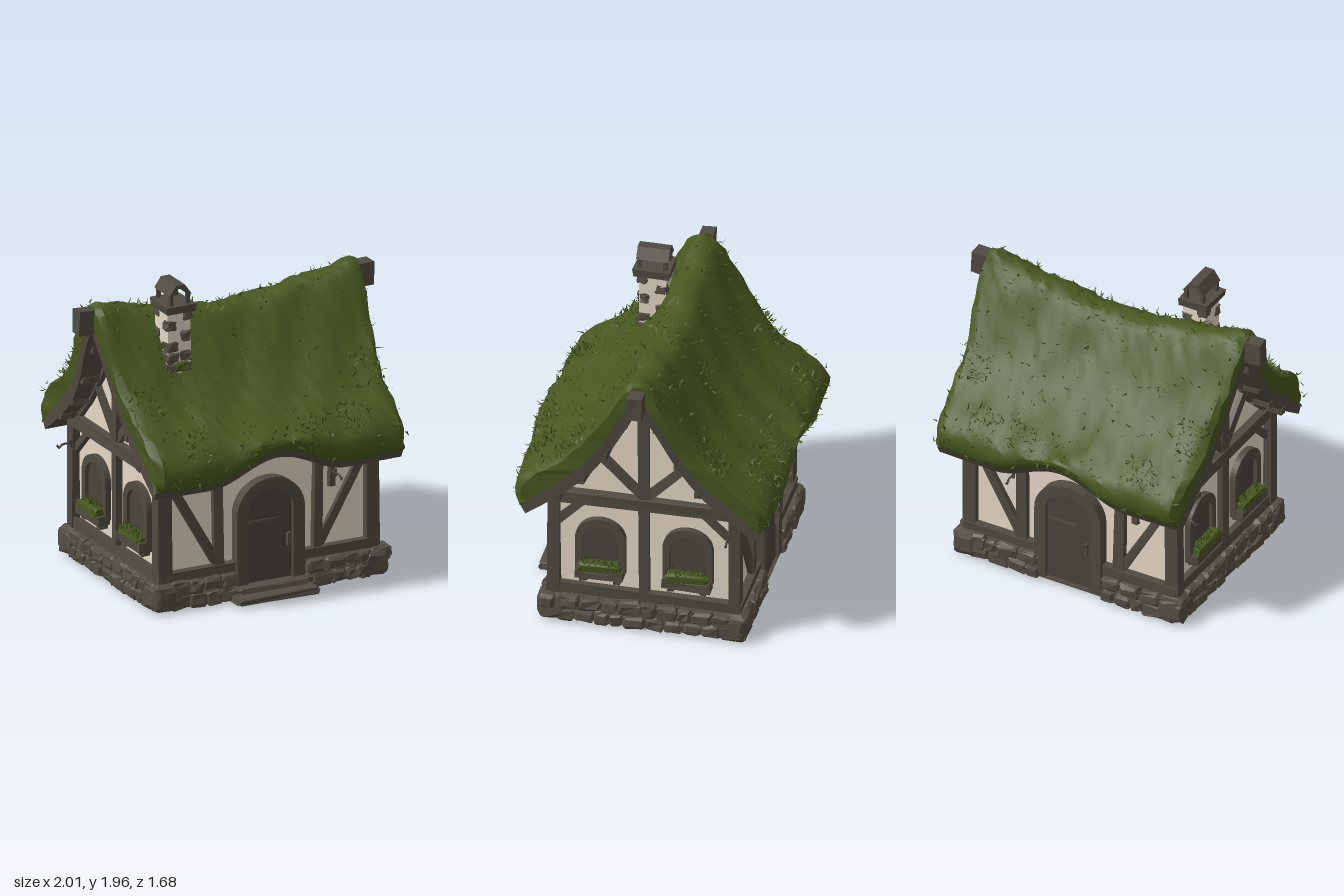
import * as THREE from 'three';
import { mergeGeometries, toCreasedNormals } from 'three/addons/utils/BufferGeometryUtils.js';
import { RoundedBoxGeometry } from 'three/addons/geometries/RoundedBoxGeometry.js';

const mat = (name, color, extra = {}) => Object.assign(new THREE.MeshStandardMaterial({ color, ...extra }), { name });
const M = {
  wood: mat('dark timber', 0x504b41),
  door: mat('door planks', 0x4a453c),
  stone: mat('stone', 0x544e44),
  plaster: mat('plaster', 0xe6d9c6),
  moss: mat('moss', 0x485720),
  leaf: mat('leaves', 0x43541e, { side: THREE.DoubleSide }),
};
const { smoothstep, clamp } = THREE.MathUtils;
const V3 = (x, y, z) => new THREE.Vector3(x, y, z);
const points2 = pts => pts.map(p => new THREE.Vector2(...p));

let seed = 7;
const rnd = (a = 0, b = 1) => a + (b - a) * ((seed = (seed * 16807) % 2147483647) / 2147483647);
const hash = (x, y, z) => {
  const s = Math.sin(x * 127.1 + y * 311.7 + z * 74.7) * 43758.5453;
  return (s - Math.floor(s)) * 2 - 1;
};
function add(parent, name, geo, material, x = 0, y = 0, z = 0) {
  const m = Object.assign(new THREE.Mesh(geo, material), { name });
  m.position.set(x, y, z);
  parent.add(m);
  return m;
}
function group(parent, name, turn = 0) {
  const g = Object.assign(new THREE.Group(), { name });
  g.rotation.y = turn;
  parent.add(g);
  return g;
}

// Nudge corners so that pieces look hand-hewn
function rough(geo, amt) {
  const g = geo.index ? geo.toNonIndexed() : geo;
  const p = g.attributes.position, s = rnd(0, 50);
  for (let i = 0; i < p.count; i++) {
    const [x, y, z] = [p.getX(i), p.getY(i), p.getZ(i)].map(v => Math.round(v * 1e4) / 1e4);
    p.setXYZ(i, x + amt * hash(x + s, y, z), y + amt * hash(x, y + s, z), z + amt * hash(x, y, z + s));
  }
  g.computeVertexNormals();
  return g;
}
const hewn = (w, h, d, amt = 0.006) => rough(new THREE.BoxGeometry(w, h, d), amt);
const rock = (w, h, d) => toCreasedNormals(rough(new RoundedBoxGeometry(w, h, d, 1, Math.min(w, h, d) * 0.25), 0.008), 0.2);

// Timber between two points of a wall panel
function beam(parent, name, x1, y1, x2, y2, w, d, z = 0.01) {
  const geo = hewn(w, Math.hypot(x2 - x1, y2 - y1), d);
  add(parent, name, geo, M.wood, (x1 + x2) / 2, (y1 + y2) / 2, z).rotation.z = -Math.atan2(x2 - x1, y2 - y1);
}

const extrude = (s, depth) => new THREE.ExtrudeGeometry(s, { depth, bevelEnabled: false, curveSegments: 10 });
function arch(w, h, rise) {
  const p = new THREE.Shape().moveTo(-w / 2, 0).lineTo(w / 2, 0).lineTo(w / 2, h - rise);
  return p.absellipse(0, h - rise, w / 2, rise, 0, Math.PI, false).lineTo(-w / 2, 0);
}
function archFrame(outer, inner, depth) {
  const s = arch(...outer);
  s.holes.push(arch(...inner));
  return extrude(s, depth);
}

// Thin leaf blade, collected for merging
function blade(list, p, dir, len, w) {
  const side = V3(rnd(-1, 1), rnd(-0.3, 0.3), rnd(-1, 1)).normalize().multiplyScalar(w);
  const g = new THREE.BufferGeometry().setFromPoints([p.clone().sub(side), p.clone().add(side), p.clone().addScaledVector(dir, len)]);
  g.computeVertexNormals();
  list.push(g);
}

// Roof cross-sections from ridge to eave: moss top, board top, board underside
const curve = pts => new THREE.SplineCurve(points2(pts));
const TOP = curve([[0, 1.82], [0.07, 1.79], [0.13, 1.71], [0.2, 1.59], [0.3, 1.43], [0.4, 1.3], [0.52, 1.18], [0.66, 1.09], [0.76, 1.01], [0.795, 0.93], [0.78, 0.85], [0.745, 0.81]]);
const MID = curve([[0, 1.74], [0.1, 1.59], [0.22, 1.37], [0.36, 1.165], [0.52, 1.02], [0.75, 0.82]]);
const LOW = curve([[0, 1.63], [0.1, 1.48], [0.23, 1.24], [0.36, 1.06], [0.51, 0.92], [0.72, 0.765]]);
// The ridge sags and the eave lifts over the door
function warp(u, z, y) {
  const half = 0.84 + 0.06 * smoothstep(y, 0.95, 1.75);
  const sag = -0.15 * (1 - Math.abs(u) ** 1.37) * Math.max(0, 1 - Math.abs(z) / 0.5);
  const lift = Math.abs(u) < 0.55 ? 0.14 * Math.cos(u * Math.PI / 1.1) ** 2 : 0;
  return V3(u * half, y + sag + lift * (1 - smoothstep(y, 0.82, 1.12)), z * (1.005 - 0.02 * u * u));
}
function roofLayer(upper, lower, bump) {
  const N = 44, pos = [];
  const [U, L] = [upper, lower].map(c => {
    const h = c.getPoints(22);
    return [...h.slice(1).reverse().map(p => new THREE.Vector2(-p.x, p.y)), ...h];
  });
  const rows = Array.from({ length: N + 1 }, (_, i) => {
    const u = i / N * 2 - 1, end = bump && (i === 0 || i === N);
    const up = U.map((p, j) => {
      const q = end ? p.clone().lerp(L[j], 0.22) : p;
      const b = bump * (0.6 * hash(i, j, 1) + 0.5 * Math.sin(u * 14 + j * 0.6));
      return warp(u, q.x, q.y).add(V3(end ? bump * hash(i, j, 3) : 0, b, b * 0.7 * Math.sign(p.x)));
    });
    return { up, lo: L.map(p => warp(u, p.x, p.y)) };
  });
  const quad = (a, b, c, d) => [a, b, c, a, c, d].forEach(v => pos.push(v.x, v.y, v.z));
  const rings = rows.map(r => [...r.up, ...r.lo.slice().reverse()]);
  for (let i = 0; i < N; i++) rings[i].forEach((a, j, A) => {
    const k = (j + 1) % A.length, B = rings[i + 1];
    quad(a, A[k], B[k], B[j]);
  });
  for (let j = 0; j < U.length - 1; j++) {
    const e = rows[N], s = rows[0];
    quad(e.up[j], e.up[j + 1], e.lo[j + 1], e.lo[j]);
    quad(s.lo[j], s.lo[j + 1], s.up[j + 1], s.up[j]);
  }
  const g = new THREE.BufferGeometry().setAttribute('position', new THREE.Float32BufferAttribute(pos, 3));
  return toCreasedNormals(g, 0.7);
}
function buildRoof(root) {
  const g = group(root, 'roof'), blades = [];
  add(g, 'mossThatch', roofLayer(TOP, MID, 0.012), M.moss);
  add(g, 'roofBoards', roofLayer(MID, LOW, 0), M.wood);
  for (const s of [-1, 1]) {
    add(g, 'ridgeBeamEnd', hewn(0.2, 0.15, 0.09), M.wood, s * 0.9, 1.70, 0).rotation.z = s * 0.05;
    // purlins under the gable overhang, rafter tails under the eaves
    for (const t of [0.2, 0.4, 0.6, 0.8]) for (const f of [-1, 1]) {
      const p = LOW.getPoint(t);
      add(g, 'purlin', hewn(0.15, 0.04, 0.04), M.wood, s * 0.77, p.y - 0.01, f * p.x);
    }
    for (const u of [-0.75, -0.5, -0.25, 0, 0.25, 0.5, 0.75]) {
      const p = warp(u, s * 0.61, 0.845);
      add(g, 'rafterTail', hewn(0.045, 0.035, 0.16), M.wood, p.x, p.y, p.z).rotation.x = s * 0.62;
    }
  }
  // loose leaves and thick tufts
  const sprout = (u, t, f, len) => {
    const p = TOP.getPoint(t), q = TOP.getPoint(Math.min(1, t + 0.01));
    const dir = V3(rnd(-1.3, 1.3), (q.x - p.x) * 50 + rnd(-0.9, 0.9), f * ((p.y - q.y) * 50 + rnd(-0.9, 0.9))).normalize();
    blade(blades, warp(u, f * p.x, p.y), dir, len, 0.008);
  };
  for (const f of [-1, 1]) {
    for (let i = 0; i < 480; i++) sprout(rnd(-1, 1), rnd(0.02, 0.92), f, rnd(0.02, 0.055));
    for (const [u, t] of [[-0.64, 0.67], [0.64, 0.67], [-0.87, 0.48], [0.87, 0.48], [0.3, 0.68]])
      for (let i = 0; i < 90; i++) sprout(clamp(u + rnd(-0.12, 0.12), -1, 1), t + rnd(-0.07, 0.07), f, rnd(0.025, 0.05));
  }
  add(g, 'roofLeaves', mergeGeometries(blades), M.leaf);
}

function buildFoundation(root) {
  const g = group(root, 'foundation');
  add(g, 'foundationCore', new THREE.BoxGeometry(1.5, 0.17, 1.2), M.stone, 0, 0.085, 0);
  // two courses of rubble on each side, leaving room for the doors
  for (let turn = 0; turn < 4; turn++) {
    const [half, off, gap] = turn % 2 ? [0.52, 0.75, 0] : [0.68, 0.6, 0.22];
    const side = group(g, 'rubbleWall', turn * Math.PI / 2);
    for (const y of [0.045, 0.13]) for (let x = -half, w; x < half; x += w * 0.97) {
      w = rnd(0.08, 0.15);
      if (Math.abs(x + w / 2) < gap) continue;
      add(side, 'stone', rock(w, rnd(0.08, 0.095), 0.1), M.stone, x + w / 2, y, off - rnd(0, 0.012)).rotation.z = rnd(-0.1, 0.1);
    }
  }
  for (const x of [-0.71, 0.71]) for (const z of [-0.56, 0.56]) add(g, 'cornerStone', rock(0.18, 0.17, 0.18), M.stone, x, 0.088, z);
  add(g, 'lowerStep', rock(0.54, 0.045, 0.19), M.stone, -0.01, 0.023, 0.665);
  add(g, 'upperStep', rock(0.46, 0.045, 0.1), M.stone, 0, 0.06, 0.63);
}

function bracket(parent, x, y) {
  const c = new THREE.CatmullRomCurve3([V3(0, 0, 0), V3(0, 0, 0.09), V3(0, -0.02, 0.105), V3(0, 0.005, 0.125)]);
  add(parent, 'lanternHook', new THREE.TubeGeometry(c, 10, 0.007, 5), M.wood, x, y, 0.03);
  add(parent, 'hookStay', hewn(0.014, 0.05, 0.014, 0.001), M.wood, x, y, 0.06);
}
function doorWall(root, turn, hookX) {
  const p = group(group(root, 'doorWall', turn), 'wallPanel');
  p.position.z = 0.557;
  add(p, 'archedWallTop', new THREE.BoxGeometry(0.8, 0.3, 0.07), M.plaster, 0, 0.84, -0.034);
  beam(p, 'sill', -0.74, 0.205, 0.74, 0.205, 0.06, 0.07);
  for (const s of [-1, 1]) {
    beam(p, 'post', s * 0.335, 0.2, s * 0.345, 0.92, 0.065, 0.06);
    beam(p, 'brace', s * 0.66, 0.79, s * 0.35, 0.25, 0.055, 0.045);
  }
  add(p, 'doorFrame', archFrame([0.46, 0.71, 0.22], [0.3, 0.64, 0.12], 0.09), M.wood, 0, 0.035, -0.02);
  add(p, 'door', extrude(arch(0.32, 0.64, 0.12), 0.06), M.door, 0, 0.04, -0.01);
  add(p, 'doorStrap', new THREE.BoxGeometry(0.2, 0.02, 0.009), M.wood, -0.04, 0.47, 0.054);
  add(p, 'doorHandle', hewn(0.02, 0.08, 0.03), M.stone, 0.125, 0.33, 0.06);
  add(p, 'bracketPlate', hewn(0.04, 0.13, 0.03), M.wood, 0.44, 0.665, 0.012);
  bracket(p, hookX, 0.7);
}
function windowWall(root, s0) {
  const w = group(group(root, 'windowWall', s0 * Math.PI / 2), 'wallPanel');
  w.position.z = 0.7;
  beam(w, 'sill', -0.57, 0.21, 0.57, 0.21, 0.06, 0.07);
  beam(w, 'crossBeam', -0.57, 0.865, 0.57, 0.865, 0.075, 0.08, 0.015);
  beam(w, 'centrePost', 0, 0.2, 0, 1.68, 0.065, 0.07);
  const r = LOW.getPoints(5);
  for (const s of [-1, 1]) {
    beam(w, 'gableBrace', s * 0.02, 0.92, s * 0.25, 1.15, 0.055, 0.045);
    beam(w, 'cornerBrace', s * 0.55, 0.66, s * 0.37, 0.84, 0.045, 0.045);
    for (let i = 0; i < 4; i++) beam(w, 'rafter', s * r[i].x, r[i].y - 0.01, s * r[i + 1].x, r[i + 1].y - 0.01, 0.06, 0.05);
    // arched window with a planted box
    const x = s * 0.27, leaves = [];
    add(w, 'windowFrame', archFrame([0.31, 0.37, 0.14], [0.22, 0.32, 0.1], 0.045), M.wood, x, 0.35, -0.005);
    add(w, 'windowPane', extrude(arch(0.24, 0.33, 0.11), 0.02), M.door, x, 0.35, -0.005);
    add(w, 'flowerBox', hewn(0.3, 0.06, 0.09), M.wood, x, 0.35, 0.045);
    for (const k of [-0.1, 0.1]) add(w, 'boxBracket', hewn(0.04, 0.04, 0.06), M.wood, x + k, 0.305, 0.03);
    add(w, 'plantBed', rock(0.26, 0.06, 0.08), M.moss, x, 0.39, 0.05);
    for (let i = 0; i < 70; i++) blade(leaves, V3(rnd(-0.12, 0.12), 0, rnd(-0.03, 0.035)), V3(rnd(-0.6, 0.6), 1, rnd(-0.3, 0.6)).normalize(), rnd(0.03, 0.075), 0.007);
    add(w, 'windowPlants', mergeGeometries(leaves), M.leaf, x, 0.4, 0.05);
  }
  bracket(w, s0 * 0.53, 0.72);
}

function buildChimney(root) {
  const g = group(root, 'chimney');
  g.position.set(-0.45, 0, 0.21);
  add(g, 'chimneyStack', hewn(0.155, 0.5, 0.165), M.plaster, 0, 1.54, 0);
  // stone footing, then quoins alternating between corners
  for (let i = 0; i < 6; i++) for (const sx of [-1, 1]) for (const sz of [-1, 1]) {
    if (i > 1 && (i + (sx + sz) / 2) % 2) continue;
    const w = i > 1 ? rnd(0.06, 0.085) : 0.085;
    add(g, 'quoin', rock(w, 0.068, w), M.stone, sx * (0.086 - w / 2), 1.42 + i * 0.066, sz * (0.092 - w / 2));
  }
  add(g, 'chimneyMoss', rock(0.09, 0.05, 0.03), M.moss, 0.01, 1.43, 0.095);
  add(g, 'chimneyCap', hewn(0.2, 0.05, 0.225), M.wood, 0, 1.8, 0);
  for (const x of [-0.058, 0.058]) for (const z of [-0.08, 0.08]) add(g, 'capPost', hewn(0.022, 0.08, 0.025, 0.002), M.wood, x, 1.855, z);
  const hood = new THREE.Shape(points2([[-0.075, 0], [-0.03, 0.065], [0.03, 0.065], [0.075, 0], [0.05, 0], [0.018, 0.042], [-0.018, 0.042], [-0.05, 0]]));
  add(g, 'chimneyHood', extrude(hood, 0.2), M.wood, 0, 1.885, -0.1);
}

export function createModel() {
  seed = 7;
  const root = Object.assign(new THREE.Group(), { name: 'cottage' });
  // plaster body with gable ends
  const half = [[0.555, 0.15], [0.555, 0.9], [0.5, 0.95], [0.36, 1.09], [0.23, 1.27], [0.1, 1.5]];
  const outline = points2([...half, [0, 1.64], ...half.map(([z, y]) => [-z, y]).reverse()]);
  add(root, 'plasterWalls', extrude(new THREE.Shape(outline), 1.4), M.plaster, -0.7).rotation.y = Math.PI / 2;
  for (const x of [-0.705, 0.705]) for (const z of [-0.56, 0.56]) add(root, 'cornerPost', hewn(0.09, 0.72, 0.075), M.wood, x, 0.52, z);
  buildFoundation(root);
  doorWall(root, 0, 0.44);
  doorWall(root, Math.PI, -0.38);
  for (const s of [-1, 1]) windowWall(root, s);
  buildRoof(root);
  buildChimney(root);
  return root;
}
